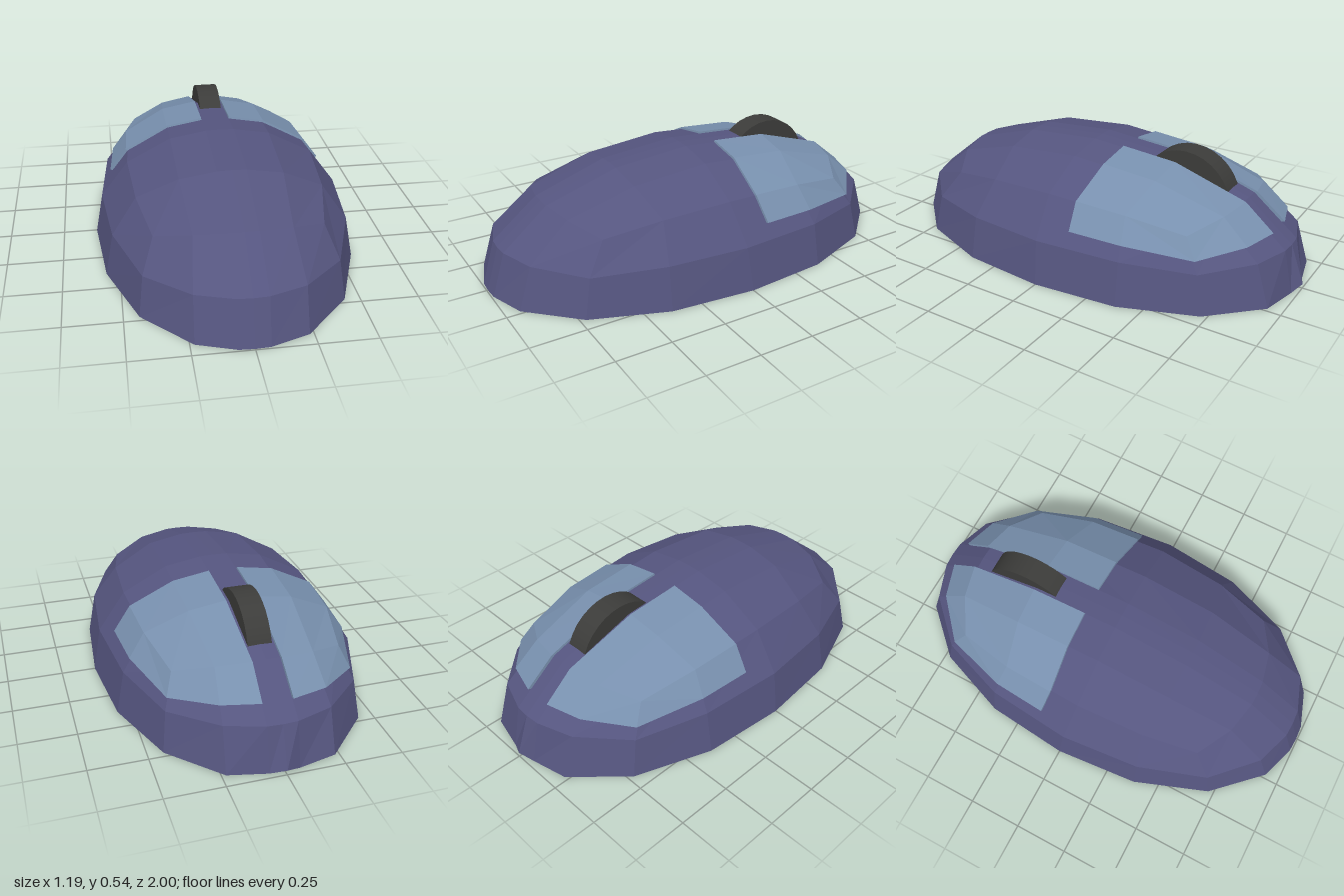
import * as THREE from 'three';

const lerp = THREE.MathUtils.lerp;
const XS = [-1, -0.5, -0.14, 0, 0.14, 0.5, 1];
const ZS = [-1, -0.5, 0, 0.5, 1];
const YS = [0, 0.5, 1];

// Rounds a point on a cube of half-size 1 into the palm-shaped dome
function shell(x, y, z) {
  const bend = (a, b, c) => lerp(Math.tan(a * Math.PI / 4), a, (b * c) ** 2);
  const d = [bend(x, y, z), bend(y, x, z), bend(z, x, y)];
  const p = 2.186;
  const r = d.reduce((s, v) => s + Math.abs(v) ** p, 0) ** (1 / p);
  const shift = 0.027 * (1 - Math.min(1, Math.abs(2 * z))) * y;
  const v = new THREE.Vector3(0.595 * d[0] / r, 0.505 * d[1] / r, 0.995 * d[2] / r + shift);
  // Small pointed nose at the button end
  if (z === -1 && y === 0) {
    if (x === 0) v.set(0, 0.02, -1);
    else if (Math.abs(x) === 0.14) v.z = -0.973;
  }
  return v;
}

function facetMesh(name, corners, color) {
  const geometry = new THREE.BufferGeometry().setFromPoints(corners);
  geometry.computeVertexNormals();
  const mesh = new THREE.Mesh(geometry, new THREE.MeshStandardMaterial({ color, flatShading: true }));
  mesh.name = name;
  return mesh;
}

const quad = (out, a, b, c, d) => out.push(a, b, c, a, c, d);

function createBody() {
  const out = [];
  const ring = [];
  const face = (us, vs, fn) => {
    for (let i = 0; i < us.length - 1; i++) {
      for (let j = 0; j < vs.length - 1; j++) {
        quad(out, fn(us[i], vs[j]), fn(us[i + 1], vs[j]), fn(us[i + 1], vs[j + 1]), fn(us[i], vs[j + 1]));
      }
    }
  };
  // Four sides, keeping the base outline as we go round
  const sides = [
    [XS, (u, v) => shell(u, v, 1)],
    [ZS, (u, v) => shell(1, v, -u)],
    [XS, (u, v) => shell(-u, v, -1)],
    [ZS, (u, v) => shell(-1, v, u)],
  ];
  for (const [us, fn] of sides) {
    face(us, YS, fn);
    us.slice(0, -1).forEach((u) => ring.push(fn(u, 0)));
  }
  // Top
  face(XS, ZS, (u, v) => shell(u, 1, -v));
  // Flat underside
  ring.forEach((p, i) => out.push(new THREE.Vector3(), ring[(i + 1) % ring.length], p));
  return facetMesh('body', out, 0x55557f);
}

// Thin slab following the dome, wrapped over its side and nose edges
function createButton(name, side) {
  const cols = [0.14, 0.5, 1, 1];
  const rows = [0, -0.5, -1, -1];
  const point = (i, j) => {
    const at = (z) => (i === 3 || j === 3
      ? shell(cols[i], 0.5, z).lerp(shell(cols[i], 1, z), 0.36)
      : shell(cols[i], 1, z));
    const p = j === 0 ? at(0).lerp(at(-0.5), 0.37) : at(rows[j]);
    p.x *= side;
    return p;
  };
  const outer = (i, j) => point(i, j).multiplyScalar(1.018);
  const inner = (i, j) => point(i, j).multiplyScalar(0.97);
  const out = [];
  const add = (a, b, c, d) => (side > 0 ? quad(out, a, b, c, d) : quad(out, d, c, b, a));
  for (let i = 0; i < 3; i++) {
    for (let j = 0; j < 3; j++) {
      if (i === 2 && j === 2) continue; // the two skirts meet here
      for (const f of [outer, inner]) {
        const q = [f(i, j), f(i + 1, j), f(i + 1, j + 1), f(i, j + 1)];
        add(...(f === outer ? q : q.reverse()));
      }
    }
  }
  // Edge walls
  const loop = [[0, 0], [1, 0], [2, 0], [3, 0], [3, 1], [3, 2], [2, 3], [1, 3], [0, 3], [0, 2], [0, 1]];
  loop.forEach((a, k) => {
    const b = loop[(k + 1) % loop.length];
    add(inner(...a), inner(...b), outer(...b), outer(...a));
  });
  return facetMesh(name, out, 0x7890ae);
}

function createWheel() {
  const geometry = new THREE.CylinderGeometry(0.225, 0.225, 0.104, 32).rotateZ(Math.PI / 2);
  const wheel = new THREE.Mesh(geometry, new THREE.MeshStandardMaterial({ color: 0x3c3c3a }));
  wheel.name = 'scrollWheel';
  wheel.position.set(0, 0.311, -0.435);
  return wheel;
}

export function createModel() {
  const group = new THREE.Group();
  group.name = 'computerMouse';
  group.add(createBody(), createButton('leftButton', 1), createButton('rightButton', -1), createWheel());
  return group;
}
